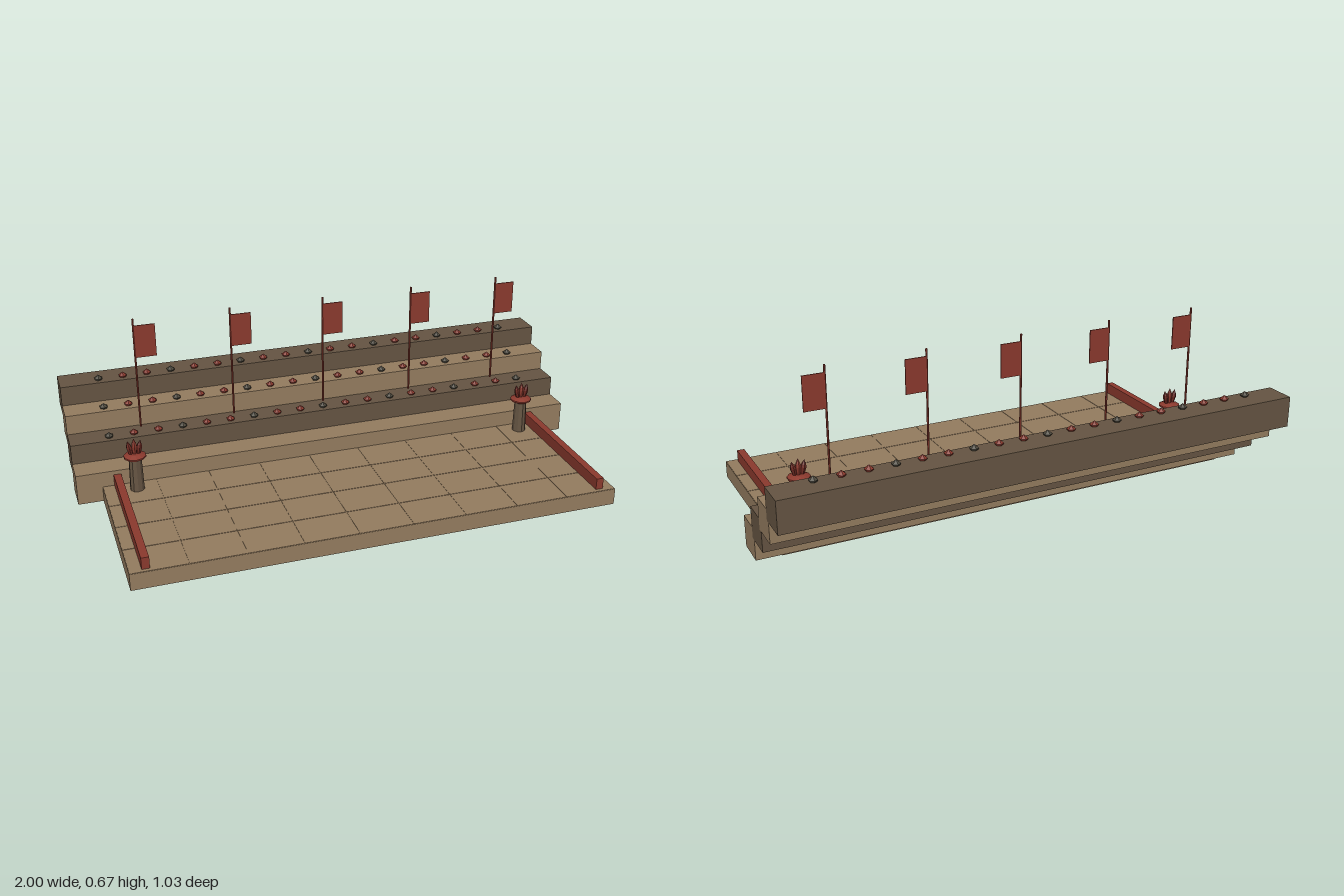
import * as THREE from 'three';

const mat = (color) => new THREE.MeshStandardMaterial({ color, flatShading: true });
const stone = mat(0x957d60), darkStone = mat(0x665543), red = mat(0x8c3a2e);
const darkRed = mat(0x6e2a22), grey = mat(0x4f4a3e);

function add(parent, name, geometry, material, x = 0, y = 0, z = 0) {
  const mesh = new THREE.Mesh(geometry, material);
  mesh.name = name;
  mesh.position.set(x, y, z);
  parent.add(mesh);
  return mesh;
}

// Box given by its lower and upper limits on each axis
function block(parent, name, material, [x0, x1], [y0, y1], [z0, z1]) {
  return add(parent, name, new THREE.BoxGeometry(x1 - x0, y1 - y0, z1 - z0), material,
    (x0 + x1) / 2, (y0 + y1) / 2, (z0 + z1) / 2);
}

function lathe(points, sides) {
  return new THREE.LatheGeometry(points.map(([r, y]) => new THREE.Vector2(r, y)), sides);
}

// Column with a shallow bowl and three pointed flames
function makeBrazier() {
  const g = new THREE.Group();
  g.name = 'brazier';
  add(g, 'column', new THREE.CylinderGeometry(0.024, 0.027, 0.13, 10), darkStone, 0, 0.065);
  add(g, 'bowl', lathe([[0, 0.126], [0.027, 0.126], [0.042, 0.134], [0.042, 0.14], [0.022, 0.148], [0, 0.148]], 10), red);
  const flame = lathe([[0, 0], [0.007, 0], [0.011, 0.03], [0.009, 0.042], [0, 0.063]], 6);
  for (const i of [-1, 0, 1]) {
    const f = add(g, 'flame', flame, i ? darkRed : red, i * 0.014, 0.146, 0);
    f.rotation.z = -i * 0.18;
    f.scale.y = i ? 0.88 : 1;
  }
  return g;
}

export function createModel() {
  const model = new THREE.Group();

  // Stage floor with a paving of nearly flush tiles
  block(model, 'floor', stone, [-0.905, 0.905], [0, 0.0635], [-0.21, 0.515]);
  const columns = 9, rows = 4, x0 = -0.905, z0 = -0.1;
  const w = 1.81 / columns, d = 0.615 / rows, gap = 0.003;
  const tile = new THREE.BoxGeometry(w - gap, 0.004, d - gap);
  for (let i = 0; i < columns; i++)
    for (let j = 0; j < rows; j++)
      add(model, 'floorTile', tile, stone, x0 + (i + 0.5) * w, 0.063, z0 + (j + 0.5) * d);

  // Four overlapping seating tiers, with spectators on the upper three
  const spectator = lathe([[0, 0], [0.012, 0], [0.017, 0.009], [0, 0.023]], 6);
  for (let t = 0; t < 4; t++) {
    const y = 0.006 + t * 0.077, z = -0.099 - t * 0.0993;
    block(model, 'seatingTier', t % 2 ? darkStone : stone, [-1, 1], [y, y + 0.119], [z - 0.117, z]);
    if (t === 0) continue;
    for (let i = 0; i < 19; i++)
      add(model, 'spectator', spectator, i % 3 ? red : grey, (i - 9) * 0.0945, y + 0.117, z - 0.032);
  }

  // Side rails and braziers
  for (const s of [-1, 1]) {
    add(model, 'sideRail', new THREE.BoxGeometry(0.028, 0.045, 0.6), red, s * 0.847, 0.0865, 0.199);
    const brazier = makeBrazier();
    brazier.position.set(s * 0.783, 0.065, -0.047);
    model.add(brazier);
  }

  // Flags in a row along the second tier
  for (let i = -2; i <= 2; i++) {
    const x = i * 0.364;
    add(model, 'flagPole', new THREE.CylinderGeometry(0.004, 0.004, 0.437, 6), red, x, 0.4485, -0.228);
    block(model, 'flag', red, [x, x + 0.08], [0.513, 0.64], [-0.23, -0.226]);
  }

  return model;
}
